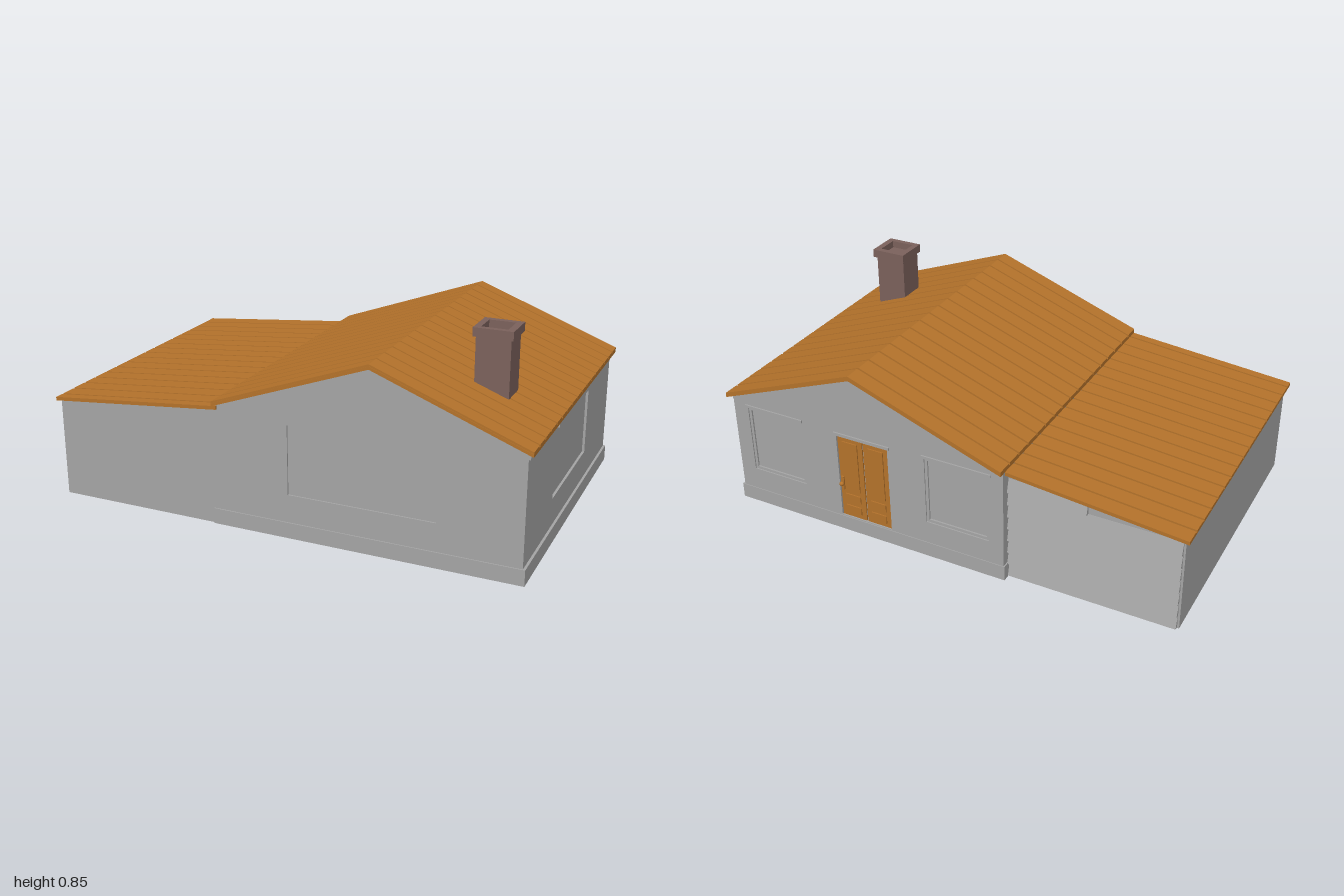
import * as THREE from 'three';

const mat = (name, color) => {
  const m = new THREE.MeshStandardMaterial({ color });
  m.name = name;
  return m;
};

export function createModel() {
  const house = new THREE.Group();
  house.name = 'house';
  const wall = mat('wallGrey', 0xa6a6a6);
  const brown = mat('timberBrown', 0xb5732b);
  const brick = mat('chimneyBrown', 0x7c625c);

  const add = (name, geometry, material, parent = house) => {
    const mesh = new THREE.Mesh(geometry, material);
    mesh.name = name;
    parent.add(mesh);
    return mesh;
  };
  // Box given by its limits on each axis
  const box = (name, [x0, x1], [y0, y1], [z0, z1], material, parent) => {
    const g = new THREE.BoxGeometry(x1 - x0, y1 - y0, z1 - z0);
    g.translate((x0 + x1) / 2, (y0 + y1) / 2, (z0 + z1) / 2);
    return add(name, g, material, parent);
  };
  const outline = (pts) => new THREE.Shape(pts.map(([x, y]) => new THREE.Vector2(x, y)));
  const rect = (x0, x1, y0, y1) => [[x0, y0], [x1, y0], [x1, y1], [x0, y1]];
  // Outline with holes, extruded from a to b along z
  const extrude = (pts, a, b, holes = []) => {
    const shape = outline(pts);
    holes.forEach((h) => shape.holes.push(outline(h)));
    const g = new THREE.ExtrudeGeometry(shape, { depth: b - a, bevelEnabled: false });
    return g.translate(0, 0, a);
  };
  // The same along x, with the outline drawn in (-z, y)
  const extrudeX = (pts, a, b, holes) => extrude(pts, a, b, holes).rotateY(Math.PI / 2);

  // Main walls: a solid core faced with thin skins that leave recessed windows
  const gable = (right) => [[-0.27, 0], [right, 0], [right, 0.505], [0.385, 0.735], [-0.27, 0.495]];
  const backWindows = [[0.65, 0.91], [-0.208, 0.073]];
  const door = [0.24, 0.478];
  add('houseCore', extrude(gable(0.97), -0.623, 0.634), wall);
  add('frontWall', extrude(gable(0.98), 0.634, 0.64, [rect(0.05, 0.65, 0.18, 0.465)]), wall);
  add('backWall', extrude(gable(0.98), -0.635, -0.623, [
    ...backWindows.map(([a, b]) => rect(a, b, 0.165, 0.465)), rect(...door, 0.07, 0.455),
  ]), wall);
  add('sideWall', extrudeX(rect(-0.64, 0.635, 0, 0.503), 0.968, 0.98, [rect(-0.26, 0.25, 0.18, 0.475)]), wall);
  box('plinth', [-0.275, 0.99], [0, 0.065], [-0.638, 0.645], wall);
  box('eaveBoard', [0.975, 0.988], [0.485, 0.506], [-0.63, 0.64], wall);
  box('sideLintel', [0.975, 0.994], [0.475, 0.49], [-0.26, 0.272], wall);

  // Back window glazing frames and lintels
  for (const [a, b] of backWindows) {
    add('backWindowFrame', extrude(rect(a, b, 0.165, 0.465), -0.63, -0.62,
      [rect(a + 0.012, b - 0.012, 0.177, 0.453)]), wall);
    box('backWindowLintel', [a - 0.01, b + 0.01], [0.465, 0.477], [-0.641, -0.63], wall);
  }
  box('doorLintel', [door[0] - 0.01, door[1] + 0.01], [0.455, 0.468], [-0.641, -0.63], wall);

  // Back door with two leaves, raised panels and a handle
  const doorGroup = new THREE.Group();
  doorGroup.name = 'backDoor';
  house.add(doorGroup);
  for (const [a, b] of [[0.242, 0.356], [0.362, 0.476]]) {
    box('doorLeaf', [a, b], [0.07, 0.453], [-0.629, -0.622], brown, doorGroup);
    for (const y of [[0.09, 0.125], [0.145, 0.18], [0.2, 0.43]]) {
      box('doorPanel', [a + 0.022, b - 0.022], y, [-0.634, -0.628], brown, doorGroup);
    }
  }
  box('handlePlate', [0.456, 0.47], [0.2, 0.26], [-0.637, -0.628], brown, doorGroup);
  const knob = add('doorKnob', new THREE.SphereGeometry(0.01, 16, 12), brown, doorGroup);
  knob.position.set(0.463, 0.23, -0.643);

  // Garage body under the lean-to roof
  const garageTop = (x) => 0.425 + 0.0973 * (x + 1);
  const under = (x) => garageTop(x) - 0.012;
  add('garage', extrude([[-0.98, 0], [-0.27, 0], [-0.27, under(-0.27)], [-0.98, under(-0.98)]], -0.592, 0.638), wall);

  // Garage door of lapped boards, the top ones shortened to fit the slope
  const pitch = 0.056;
  for (let i = 0; i < 8; i++) {
    const y = i * pitch + 0.004;
    const top = y + pitch;
    const start = Math.max(-0.972, -1 + (top - 0.413) / 0.0973);
    if (start > -0.3) continue;
    add('garageBoard', extrudeX([[0.588, y], [0.609, y], [0.594, top], [0.588, top]], start, -0.272), wall);
  }

  // Roofs: a thin deck carrying separate strips with narrow gaps
  const chevron = (a, b) => [
    [-0.27, 0.515 - b], [0.385, 0.753 - b], [1, 0.52 - b],
    [1, 0.52 - a], [0.385, 0.753 - a], [-0.27, 0.515 - a],
  ];
  const leanTo = (a, b) => [
    [-1, garageTop(-1) - b], [-0.25, garageTop(-0.25) - b],
    [-0.25, garageTop(-0.25) - a], [-1, garageTop(-1) - a],
  ];
  const roof = (name, profile, thickness, z0, z1, step) => {
    const g = new THREE.Group();
    g.name = name;
    house.add(g);
    add('roofDeck', extrude(profile(0.008, thickness), z0, z1), brown, g);
    for (let z = z0; z < z1 - 0.01; z += step) {
      add('roofStrip', extrude(profile(0, 0.0085), z, Math.min(z + step - 0.009, z1)), brown, g);
    }
  };
  roof('mainRoof', chevron, 0.02, -0.655, 0.65, 0.0772);
  roof('garageRoof', leanTo, 0.015, -0.62, 0.647, 0.0768);

  // Chimney with an open cap
  const chimney = new THREE.Group();
  chimney.name = 'chimney';
  house.add(chimney);
  box('chimneyStack', [0.685, 0.82], [0.55, 0.82], [0.24, 0.36], brick, chimney);
  const cap = extrude(rect(0.675, 0.83, -0.37, -0.225), 0.815, 0.85, [rect(0.7, 0.803, -0.347, -0.25)]);
  add('chimneyCap', cap.rotateX(-Math.PI / 2), brick, chimney);

  return house;
}
